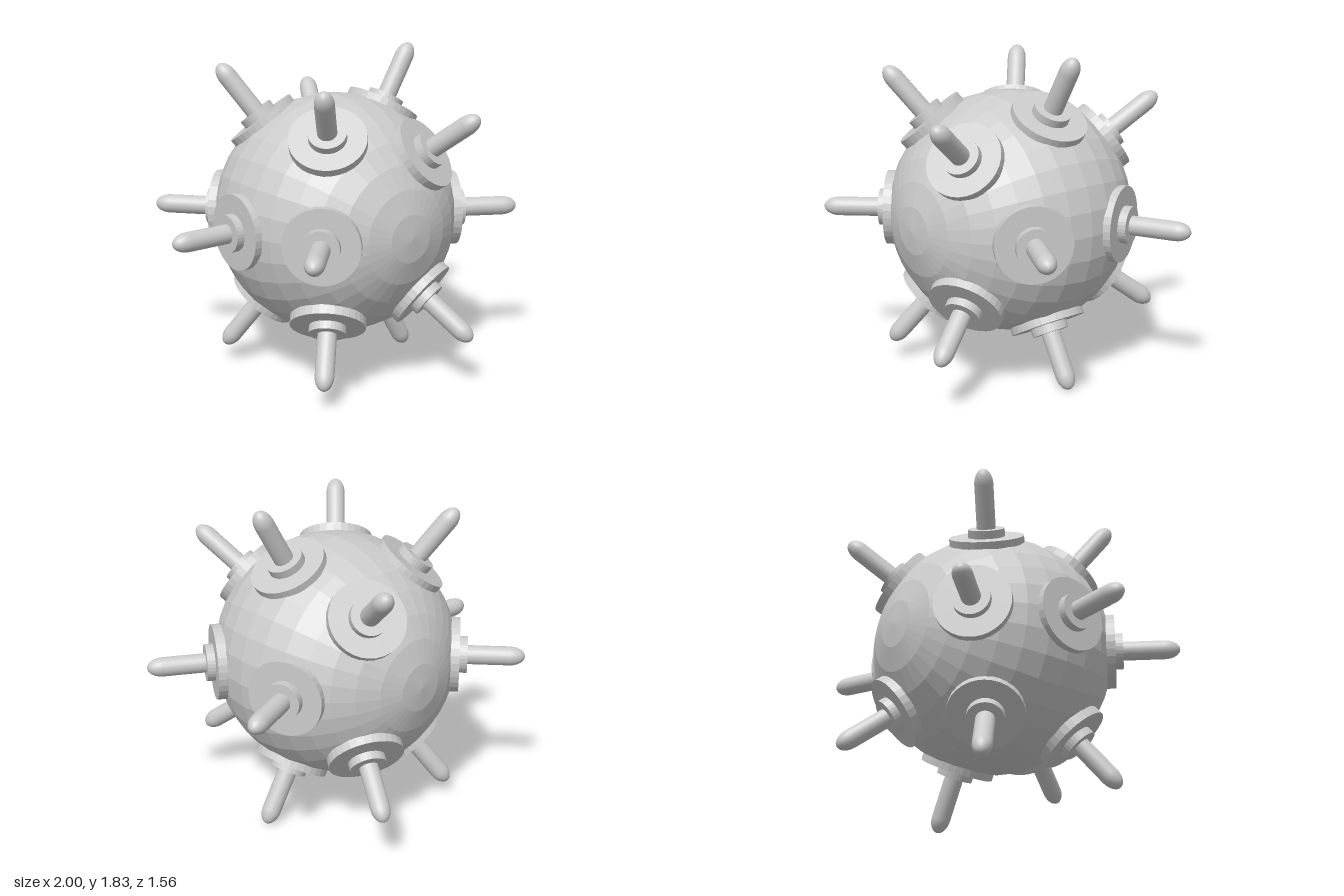
import * as THREE from 'three';

const material = new THREE.MeshStandardMaterial({ color: 0xcccccc, flatShading: true });
const smooth = new THREE.MeshStandardMaterial({ color: 0xcccccc });
const RADIUS = 0.674, CENTER = [0.05, 0.925, 0], UP = new THREE.Vector3(0, 1, 0);

// Flat disc whose outer face lies at height top
function disc(name, radius, bottom, top) {
  const geometry = new THREE.CylinderGeometry(radius, radius, top - bottom, 32);
  geometry.translate(0, (top + bottom) / 2, 0);
  const mesh = new THREE.Mesh(geometry, material);
  mesh.name = name;
  return mesh;
}

// Round rod with an elongated dome tip
function rod() {
  const r = 0.053, tip = 0.085, length = 1.05;
  const profile = [new THREE.Vector2(r, 0.66)];
  for (let i = 0; i <= 8; i++) {
    const a = (i / 8) * Math.PI / 2;
    profile.push(new THREE.Vector2(i === 8 ? 0 : r * Math.cos(a), length - tip + tip * Math.sin(a)));
  }
  const mesh = new THREE.Mesh(new THREE.LatheGeometry(profile, 24), smooth);
  mesh.name = 'rod';
  return mesh;
}

// Complete spike: base plate, collar and rod, pointing along y
function spike(faceHeight) {
  const group = new THREE.Group();
  group.name = 'spike';
  group.add(disc('basePlate', 0.208, 0.632, faceHeight), disc('collar', 0.102, 0.64, faceHeight + 0.045), rod());
  return group;
}

export function createModel() {
  const model = new THREE.Group();
  model.name = 'spikedSphere';
  const body = new THREE.Group();
  body.position.set(...CENTER);
  model.add(body);

  // Faceted ball with its poles on the z axis
  const ball = new THREE.Mesh(new THREE.SphereGeometry(RADIUS, 32, 16).rotateX(Math.PI / 2), material);
  ball.name = 'ball';
  body.add(ball);

  // Five rings of three spikes, alternately turned: [latitude, start azimuth, plate height]
  const rings = [[47, 60, 0.686], [29, 0, 0.688], [0.4, 60, 0.677], [-25, 0, 0.677], [-47, 60, 0.686]];
  for (const [latitude, start, faceHeight] of rings) {
    const lat = THREE.MathUtils.degToRad(latitude);
    for (let i = 0; i < 3; i++) {
      const az = THREE.MathUtils.degToRad(start + i * 120);
      const direction = new THREE.Vector3(
        Math.cos(lat) * Math.cos(az), Math.cos(lat) * Math.sin(az), Math.sin(lat));
      const part = spike(faceHeight);
      part.quaternion.setFromUnitVectors(UP, direction);
      body.add(part);
    }
  }
  return model;
}
